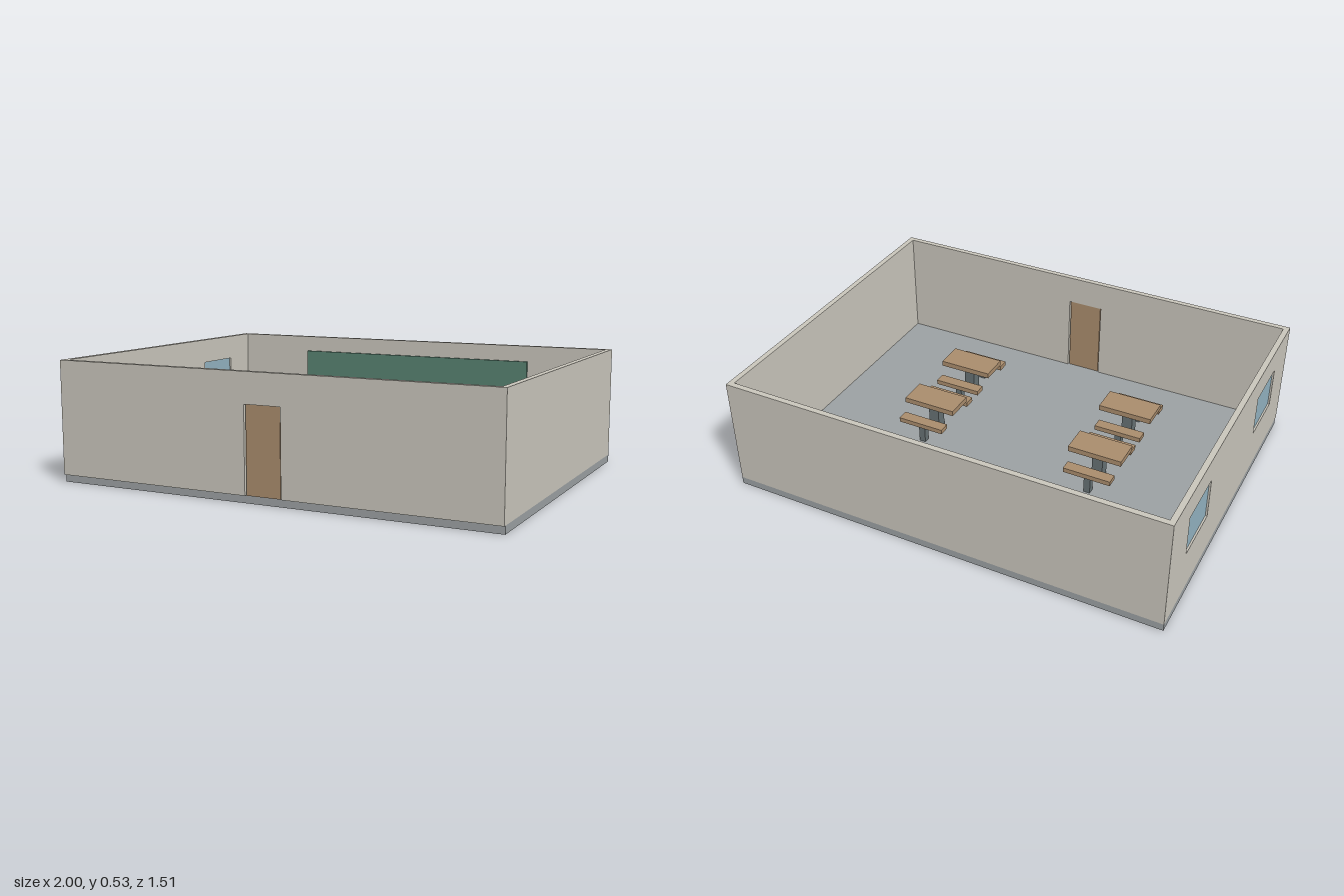
import * as THREE from 'three';

const mat = (name, color) => {
  const m = new THREE.MeshStandardMaterial({ color });
  m.name = name;
  return m;
};

export function createModel() {
  const wall = mat('plaster', 0xcac6bc);
  const floorGrey = mat('floor grey', 0x9ca1a3);
  const wood = mat('wood', 0xaa8d6d);
  const slate = mat('slate', 0x667173);
  const board = mat('board green', 0x588271);
  const glass = mat('window glass', 0x93b3c1);

  const room = new THREE.Group();
  room.name = 'classroom';

  // Box given by its lower and upper corners
  const box = (parent, name, material, [x0, y0, z0], [x1, y1, z1]) => {
    const mesh = new THREE.Mesh(new THREE.BoxGeometry(x1 - x0, y1 - y0, z1 - z0), material);
    mesh.position.set((x0 + x1) / 2, (y0 + y1) / 2, (z0 + z1) / 2);
    mesh.name = name;
    parent.add(mesh);
    return mesh;
  };

  const F = 0.033, TOP = 0.533, T = 0.025, Z = 0.756, ZI = Z - T;
  const polygon = (C, pts) => new C(pts.map(([x, y]) => new THREE.Vector2(x, y)));
  const wallPanel = (name, shape) => {
    const mesh = new THREE.Mesh(
      new THREE.ExtrudeGeometry(shape, { depth: T, bevelEnabled: false }), wall);
    mesh.name = name;
    room.add(mesh);
    return mesh;
  };

  // Floor slab, stopping short of the front wall's outer face
  box(room, 'floor', floorGrey, [-1, 0, -Z], [1, F, 0.744]);

  // Plain walls
  box(room, 'backWall', wall, [-1, F, -Z], [1, TOP, -ZI]);
  box(room, 'leftWall', wall, [1 - T, F, -ZI], [1, TOP, ZI]);

  // Front wall with a doorway, and a narrower door set inside it
  const doorTop = 0.402, doorHalf = 0.083;
  wallPanel('frontWall', polygon(THREE.Shape, [
    [-1, F], [-doorHalf, F], [-doorHalf, doorTop], [doorHalf, doorTop],
    [doorHalf, F], [1, F], [1, TOP], [-1, TOP],
  ])).position.z = ZI;
  box(room, 'door', wood, [-0.078, F, ZI + 0.006], [0.078, doorTop, Z - 0.006]);

  // Side wall with two window openings and recessed panes
  const side = polygon(THREE.Shape, [[-ZI, F], [ZI, F], [ZI, TOP], [-ZI, TOP]]);
  const w0 = 0.234, w1 = 0.418;
  for (const c of [-0.434, 0.434]) {
    const a = c - 0.124, b = c + 0.124;
    side.holes.push(polygon(THREE.Path, [[a, w0], [a, w1], [b, w1], [b, w0]]));
    box(room, 'windowPane', glass, [-0.992, w0, a], [-0.983, w1, b]);
  }
  const rightWall = wallPanel('rightWall', side);
  rightWall.rotation.y = -Math.PI / 2;
  rightWall.position.x = -1 + T;

  // Board on the back wall
  box(room, 'chalkboard', board, [-0.6, 0.258, -ZI], [0.6, 0.458, -0.719]);

  // Counter with an overhanging top
  const counter = new THREE.Group();
  counter.name = 'counter';
  box(counter, 'counterBase', wood, [-0.4375, F, -0.603], [0.4375, 0.203, -0.453]);
  box(counter, 'counterTop', slate, [-0.4625, 0.203, -0.61], [0.4625, 0.228, -0.447]);
  room.add(counter);

  // Pedestal tables, each with a bench before and behind
  for (const x of [-0.416, 0.416]) {
    for (const z of [-0.03, 0.317]) {
      const set = new THREE.Group();
      set.name = 'tableWithBenches';
      set.position.set(x, 0, z);
      box(set, 'tableTop', wood, [-0.126, 0.17, -0.065], [0.126, 0.195, 0.065]);
      box(set, 'tablePost', slate, [-0.025, F, -0.025], [0.025, 0.17, 0.025]);
      for (const s of [-1, 1]) {
        const c = s * 0.121;
        box(set, 'benchSeat', wood, [-0.111, 0.116, c - 0.026], [0.111, 0.138, c + 0.026]);
        box(set, 'benchPost', slate, [-0.015, F, c - 0.015], [0.015, 0.116, c + 0.015]);
      }
      room.add(set);
    }
  }

  return room;
}
